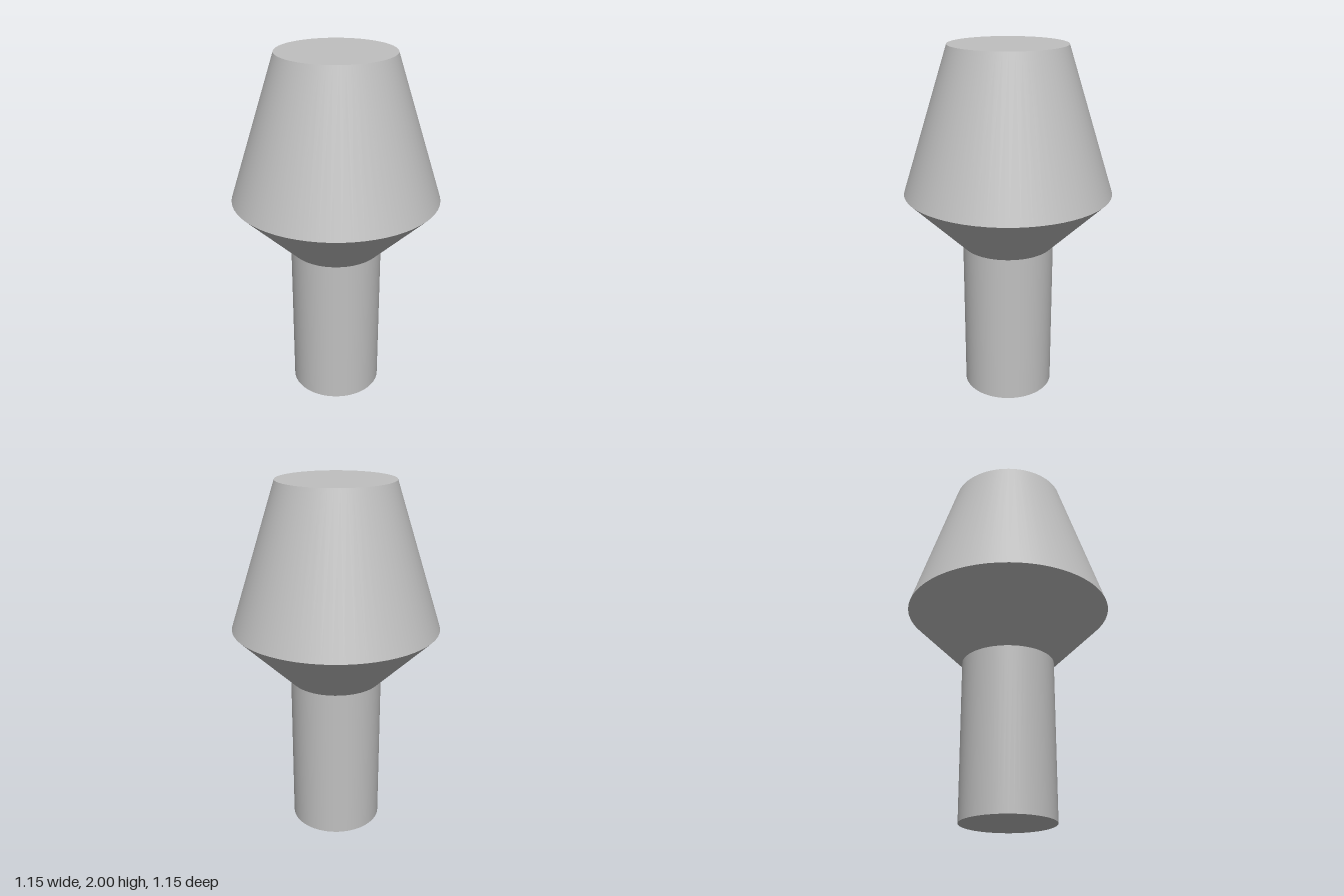
import * as THREE from 'three';

const SEGMENTS = 64;

export function createModel() {
  const model = new THREE.Group();
  const grey = new THREE.MeshStandardMaterial({ color: 0xc0c0c0 });
  grey.name = 'light grey';

  // Turned section between two heights; open sections have no end caps
  function section(name, bottomRadius, topRadius, y0, y1, open = false) {
    const geometry = new THREE.CylinderGeometry(topRadius, bottomRadius, y1 - y0, SEGMENTS, 1, open);
    const mesh = new THREE.Mesh(geometry, grey);
    mesh.name = name;
    mesh.position.y = (y0 + y1) / 2;
    model.add(mesh);
  }

  // Flat disc closing one end of the body
  function cap(name, radius, y, facing) {
    const mesh = new THREE.Mesh(new THREE.CircleGeometry(radius, SEGMENTS), grey);
    mesh.name = name;
    mesh.position.y = y;
    mesh.rotation.set(-facing * Math.PI / 2, 0, Math.PI / 2);
    model.add(mesh);
  }

  // Straight stem, flared shoulder and tapered head
  section('stem', 0.257, 0.257, 0, 0.885, true);
  section('shoulder', 0.257, 0.576, 0.885, 1.2, true);
  section('head', 0.576, 0.32, 1.2, 2, true);

  // Closed ends
  cap('stemBase', 0.257, 0, -1);
  cap('headTop', 0.32, 2, 1);

  return model;
}
